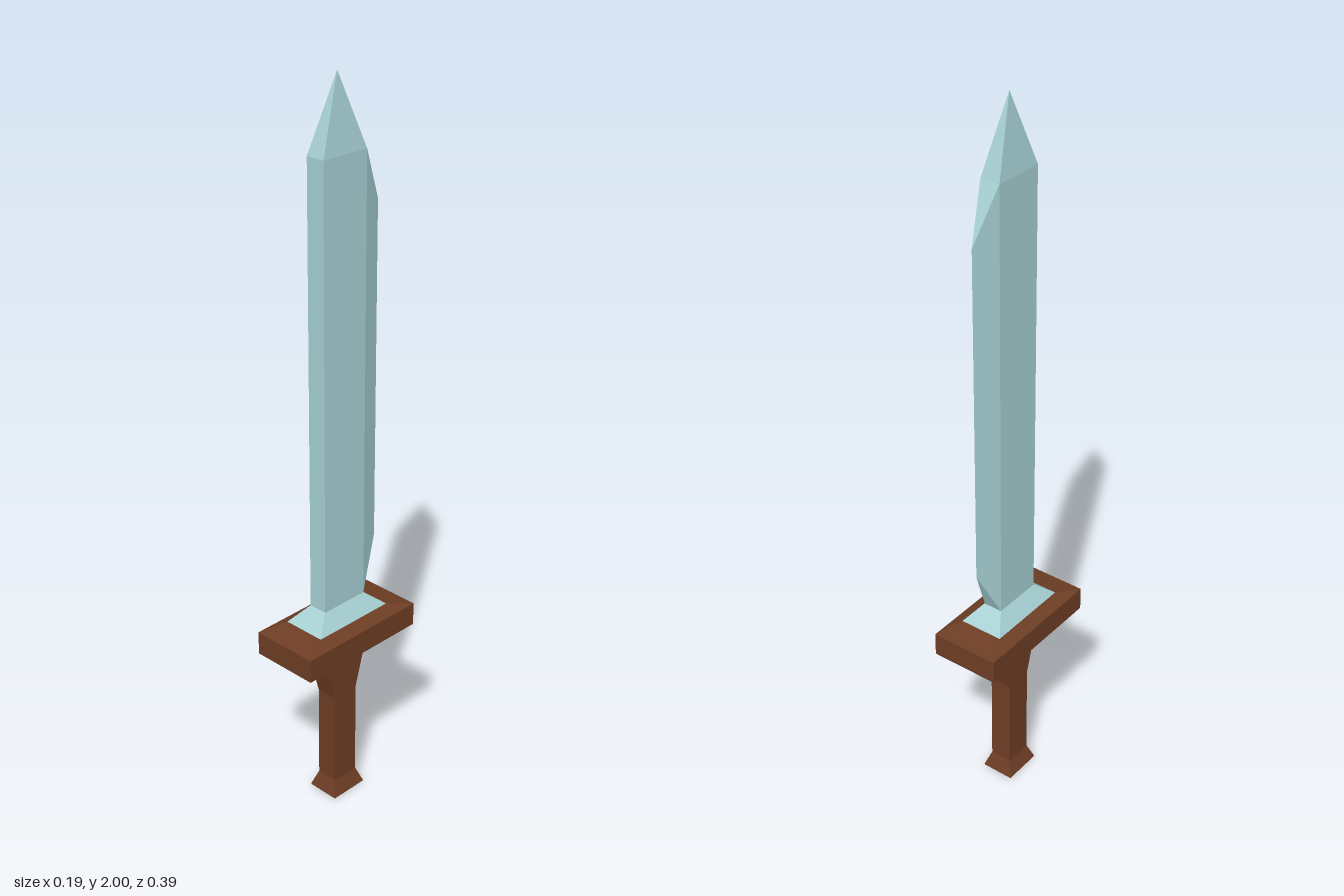
import * as THREE from 'three';

const steel = new THREE.MeshStandardMaterial({ color: 0xa5cfd2 });
steel.name = 'pale steel';
const wood = new THREE.MeshStandardMaterial({ color: 0x6d3d24 });
wood.name = 'brown wood';

// Flat-shaded mesh from convex polygons, each a list of [x, y, z] corners
function facetMesh(name, polygons, material) {
  const points = [];
  for (const p of polygons)
    for (let i = 1; i < p.length - 1; i++) points.push(...p[0], ...p[i], ...p[i + 1]);
  const geometry = new THREE.BufferGeometry();
  geometry.setAttribute('position', new THREE.Float32BufferAttribute(points, 3));
  geometry.computeVertexNormals();
  const mesh = new THREE.Mesh(geometry, material);
  mesh.name = name;
  return mesh;
}

// Stack of rectangular sections, each [y, half width, half depth]
function loft(name, sections, material) {
  const rings = sections.map(([y, w, d]) => [[-w, y, d], [w, y, d], [w, y, -d], [-w, y, -d]]);
  const faces = [[...rings[0]].reverse(), rings[rings.length - 1]];
  for (let k = 0; k < rings.length - 1; k++)
    for (let i = 0; i < 4; i++) {
      const j = (i + 1) % 4;
      faces.push([rings[k][i], rings[k][j], rings[k + 1][j], rings[k + 1][i]]);
    }
  return facetMesh(name, faces, material);
}

export function createModel() {
  const sword = new THREE.Group();
  sword.name = 'sword';

  // Flared pommel, straight grip and widening neck
  sword.add(loft('grip', [
    [0, 0.047, 0.057], [0.045, 0.031, 0.04], [0.32, 0.031, 0.04], [0.425, 0.031, 0.07],
  ], wood));

  // Guard with bevelled underside and top
  sword.add(loft('guard', [
    [0.425, 0.031, 0.07], [0.465, 0.062, 0.125], [0.48, 0.097, 0.196],
    [0.546, 0.097, 0.196], [0.562, 0.062, 0.124],
  ], wood));

  // Sloping blade foot, then the straight blade and its point
  sword.add(loft('bladeFoot', [[0.562, 0.062, 0.124], [0.605, 0.027, 0.072]], steel));
  sword.add(loft('blade', [[0.605, 0.027, 0.072], [1.81, 0.027, 0.072], [2, 0, 0]], steel));

  // Sharpened wedge along the back of the blade
  const w = 0.027, z = -0.072;
  const lowL = [w, 0.605, z], lowR = [-w, 0.605, z];
  const highL = [w, 1.81, z], highR = [-w, 1.81, z];
  const edgeLow = [0, 0.745, -0.14], edgeHigh = [0, 1.67, -0.14];
  sword.add(facetMesh('cuttingEdge', [
    [lowL, edgeLow, edgeHigh, highL],
    [lowR, highR, edgeHigh, edgeLow],
    [lowL, lowR, edgeLow],
    [highL, edgeHigh, highR],
  ], steel));

  return sword;
}
